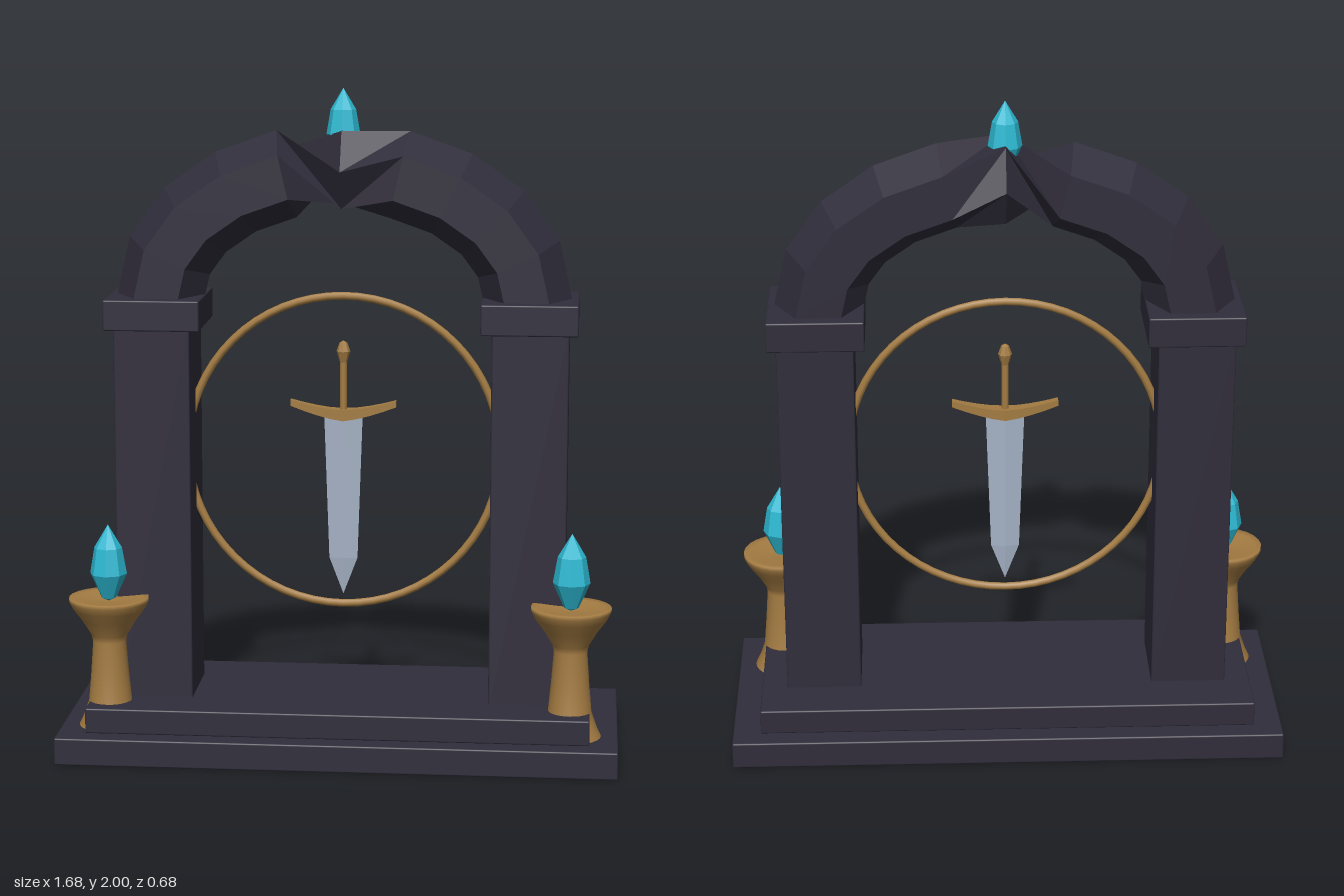
import * as THREE from 'three';
import { RoundedBoxGeometry } from 'three/addons/geometries/RoundedBoxGeometry.js';

const material = (name, color) => {
  const m = new THREE.MeshStandardMaterial({ color });
  m.name = name;
  return m;
};

// One normal per face for the faceted parts
function faceted(geometry) {
  const g = geometry.index ? geometry.toNonIndexed() : geometry;
  g.computeVertexNormals();
  return g;
}

const lathe = (points, sides) =>
  new THREE.LatheGeometry(points.map(([r, y]) => new THREE.Vector2(r, y)), sides);

// Six-sided beam swept over half an ellipse, with a quarter twist at the crown
function archGeometry(rx, ry, r, steps) {
  const sides = 6;
  const point = (i, j) => {
    const t = (i / steps) * Math.PI;
    const n = new THREE.Vector2(Math.cos(t) / rx, Math.sin(t) / ry).normalize();
    const p = (j / sides) * Math.PI * 2 + (i === steps / 2 ? Math.PI / 2 : 0);
    const out = r * Math.cos(p);
    return [rx * Math.cos(t) + n.x * out, ry * Math.sin(t) + n.y * out, r * Math.sin(p)];
  };
  const positions = [];
  for (let i = 0; i < steps; i++) {
    for (let j = 0; j < sides; j++) {
      const a = point(i, j), b = point(i + 1, j);
      const c = point(i + 1, j + 1), d = point(i, j + 1);
      positions.push(...a, ...b, ...d, ...b, ...c, ...d);
    }
  }
  const g = new THREE.BufferGeometry();
  g.setAttribute('position', new THREE.Float32BufferAttribute(positions, 3));
  return faceted(g);
}

// Bar that rises and thins towards both ends
function guardGeometry() {
  const g = new THREE.BoxGeometry(0.32, 0.034, 0.04, 8, 1, 1);
  const p = g.attributes.position;
  for (let i = 0; i < p.count; i++) {
    const t = Math.abs(p.getX(i)) / 0.16;
    const taper = 1 - 0.45 * t;
    p.setY(i, p.getY(i) * taper + 0.036 * t ** 1.5);
    p.setZ(i, p.getZ(i) * taper);
  }
  return faceted(g);
}

export function createModel() {
  const model = new THREE.Group();
  const stone = material('dark stone', 0x302d3b);
  const gold = material('aged gold', 0xa37b42);
  const crystal = material('cyan crystal', 0x2cb9d2);
  const steel = material('steel', 0xa6b3c6);

  const add = (name, geometry, mat, x = 0, y = 0, z = 0, parent = model) => {
    const mesh = new THREE.Mesh(geometry, mat);
    mesh.name = name;
    mesh.position.set(x, y, z);
    parent.add(mesh);
    return mesh;
  };
  const block = (name, w, y0, y1, d, x = 0) =>
    add(name, new RoundedBoxGeometry(w, y1 - y0, d, 2, 0.005), stone, x, (y0 + y1) / 2, 0);

  // Stepped base
  block('lowerStep', 1.68, 0, 0.083, 0.68);
  block('upperStep', 1.51, 0.083, 0.16, 0.56);

  // Arch over the pillars
  add('arch', archGeometry(0.55, 0.385, 0.133, 10), stone, 0, 1.378, 0);

  const crystalGeometry = faceted(lathe(
    [[0, -0.085], [0.022, -0.075], [0.056, 0], [0.042, 0.08], [0, 0.15]], 8));
  const brazierGeometry = lathe([
    [0.095, 0.083], [0.08, 0.115], [0.065, 0.16], [0.057, 0.25], [0.05, 0.345], [0.055, 0.365],
    [0.082, 0.41], [0.108, 0.445], [0.12, 0.468], [0.12, 0.48], [0.1, 0.478], [0, 0.465],
  ], 24);

  // Pillars, caps and braziers on both sides
  for (const [side, s] of [['left', 1], ['right', -1]]) {
    block(side + 'Pillar', 0.228, 0.155, 1.295, 0.264, s * 0.563);
    block(side + 'PillarCap', 0.288, 1.288, 1.38, 0.312, s * 0.56);
    add(side + 'Brazier', brazierGeometry, gold, s * 0.695, 0, 0.17);
    add(side + 'Crystal', crystalGeometry, crystal, s * 0.695, 0.553, 0.17);
  }

  // Crystal on the crown
  add('crownCrystal', crystalGeometry, crystal, 0, 1.865, 0).scale.setScalar(0.9);

  // Ring hanging between the pillars
  add('ring', new THREE.TorusGeometry(0.474, 0.012, 8, 64), gold, 0, 0.906, 0);

  // Sword, point down
  const sword = new THREE.Group();
  sword.name = 'sword';
  model.add(sword);
  const blade = lathe([[0, 0.462], [0.043, 0.575], [0.058, 1.01], [0, 1.01]], 4);
  blade.scale(1, 1, 0.27);
  add('blade', faceted(blade), steel, 0, 0, 0, sword);
  add('guard', guardGeometry(), gold, 0, 1.018, 0, sword);
  add('grip', new THREE.CylinderGeometry(0.011, 0.011, 0.18, 10), gold, 0, 1.11, 0, sword);
  add('pommel', faceted(lathe(
    [[0, 1.172], [0.011, 1.178], [0.021, 1.212], [0.012, 1.238], [0, 1.245]], 8)), gold, 0, 0, 0, sword);

  return model;
}
